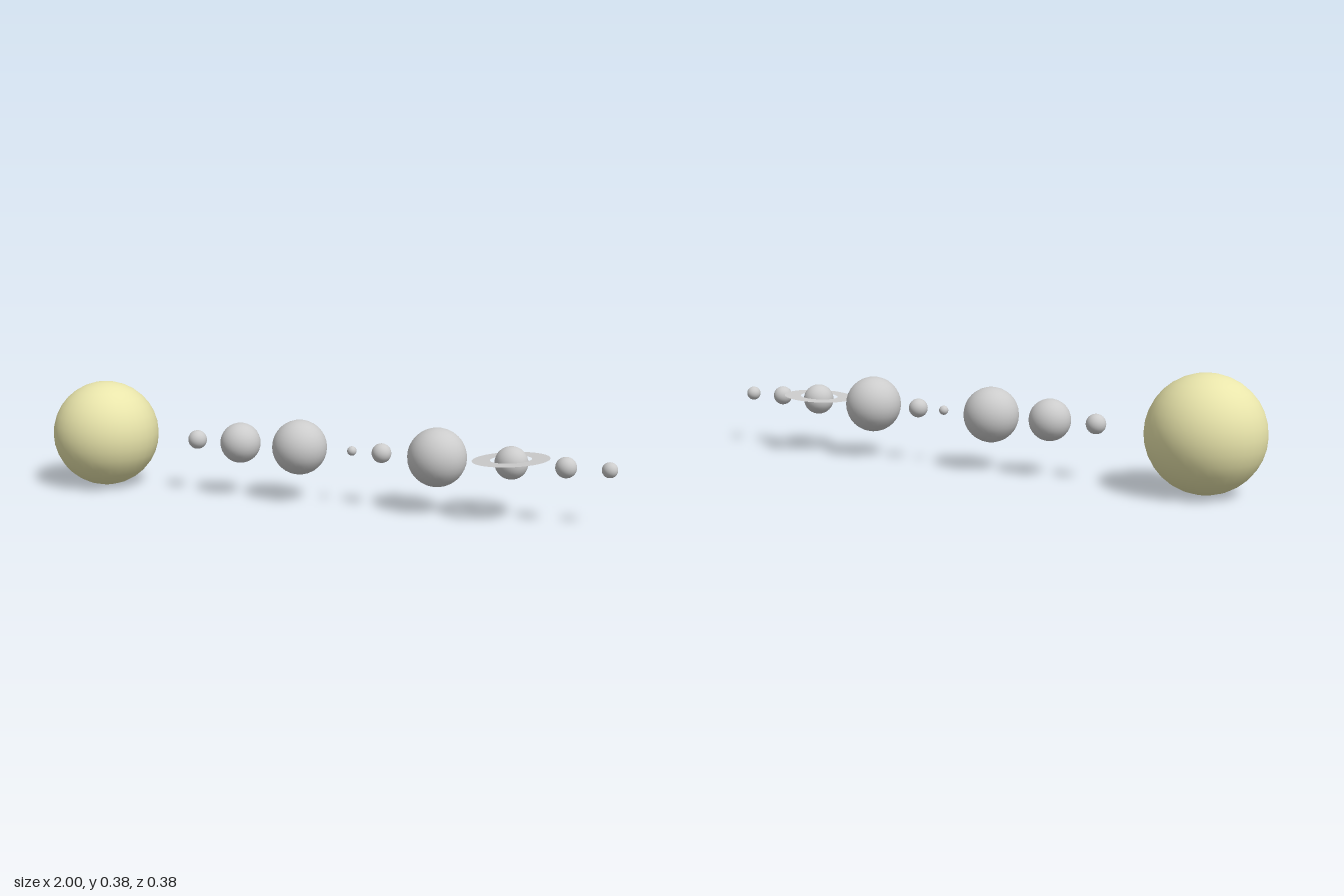
import * as THREE from 'three';

export function createModel() {
  const model = new THREE.Group();
  const grey = new THREE.MeshStandardMaterial({ color: 0xcccccc });
  const yellow = new THREE.MeshStandardMaterial({ color: 0xe9e5ab });
  const ringGrey = new THREE.MeshStandardMaterial({ color: 0xcccccc, side: THREE.DoubleSide });

  const addBall = (name, x, r, z = 0, material = grey) => {
    const ball = new THREE.Mesh(new THREE.SphereGeometry(r, 32, 16), material);
    ball.name = name;
    ball.position.set(x, 0.189, z);
    model.add(ball);
  };

  // Large yellow star at the right end of the row
  addBall('sun', -0.812, 0.188, 0, yellow);

  // Row of planets: [name, x, radius, z]
  [
    ['firstPlanet', -0.447, 0.033],
    ['secondPlanet', -0.282, 0.07],
    ['thirdPlanet', -0.062, 0.094],
    ['moon', 0.126, 0.016],
    ['fourthPlanet', 0.23, 0.033],
    ['giantPlanet', 0.42, 0.098],
    ['ringedPlanet', 0.665, 0.054],
    ['seventhPlanet', 0.84, 0.034, 0.009],
    ['outerPlanet', 0.974, 0.025],
  ].forEach((p) => addBall(...p));

  // Thin flat ring, tipped up towards +x
  const ringGeometry = new THREE.RingGeometry(0.067, 0.125, 48);
  ringGeometry.rotateX(-Math.PI / 2);
  const ring = new THREE.Mesh(ringGeometry, ringGrey);
  ring.name = 'planetRing';
  ring.position.set(0.663, 0.2, 0);
  ring.rotation.z = 0.075;
  model.add(ring);

  return model;
}
